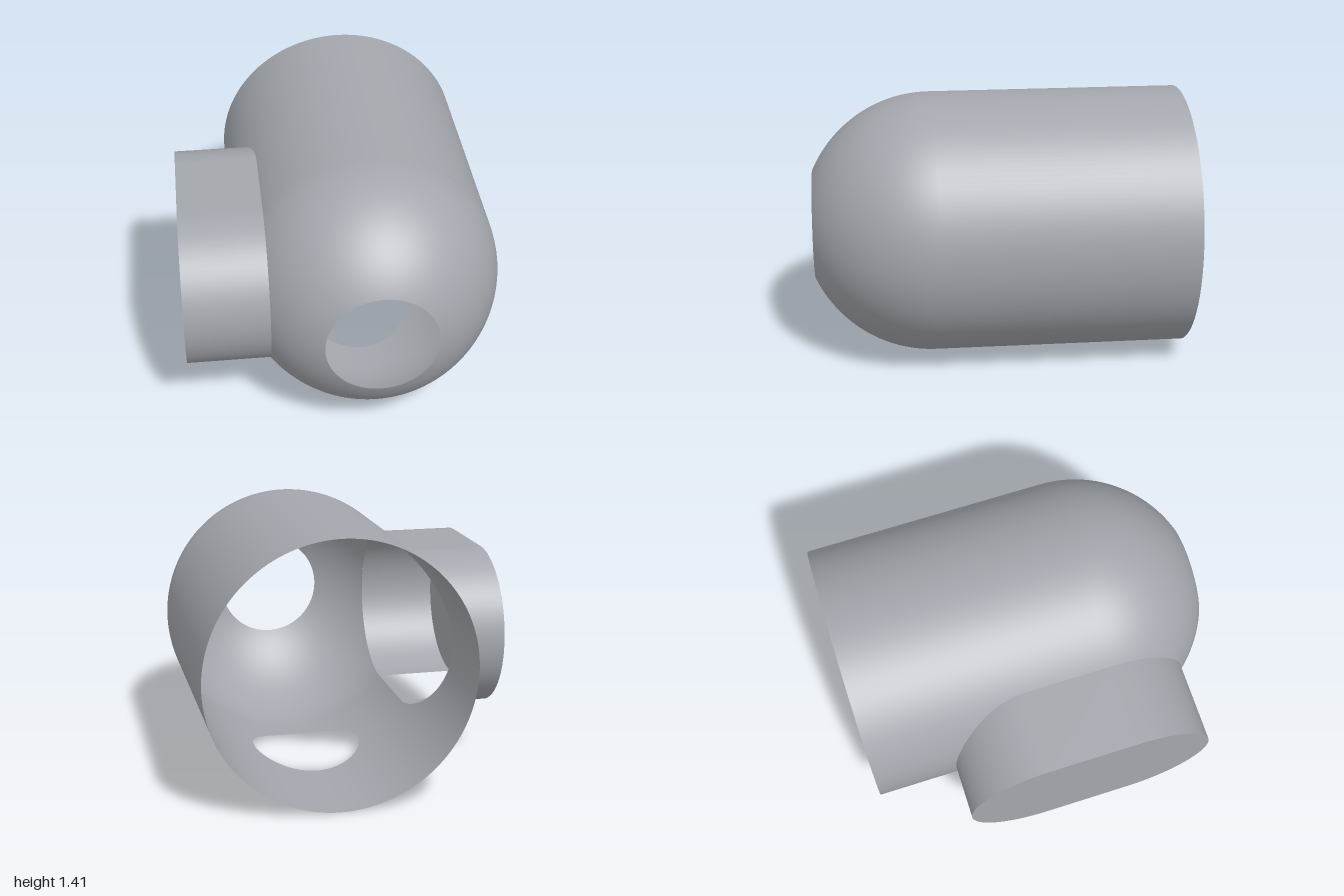
import * as THREE from 'three';

const R = 0.7075, CX = 0.147, CY = R;      // main tube radius and axis
const Z0 = -1, ZD = 0.357;                 // open back end, start of the dome
const MOUTH = 0.295;                       // radius of the opening in the dome
const S_END = ZD + R * Math.acos(MOUTH / R);
const BR = 0.44, BZ = -0.12, BX = -0.853;  // side branch: end radius, rear centre, cap position
const DR = 0.3, DZ = -0.11;                // round drain hole in the underside
const PI = Math.PI;

export function createModel() {
  const group = new THREE.Group();
  const grey = new THREE.MeshStandardMaterial({ color: 0xa3a7ad, side: THREE.DoubleSide });
  grey.name = 'grey';

  const add = (name, geometry, parent) => {
    const mesh = new THREE.Mesh(geometry, grey);
    mesh.name = name;
    parent.add(mesh);
  };

  // Grid patch: fn(u, v) returns [position, normal]
  const patch = (nu, nv, fn) => {
    const g = new THREE.PlaneGeometry(1, 1, nu, nv);
    const { position, normal, uv } = g.attributes;
    for (let i = 0; i < position.count; i++) {
      const [p, n] = fn(uv.getX(i), uv.getY(i));
      position.setXYZ(i, ...p);
      normal.setXYZ(i, ...n);
    }
    return g;
  };

  // Point on the tube and dome: angle round the axis, distance along the profile
  const bodyPoint = (a, s) => {
    const b = Math.max(0, s - ZD) / R;
    const n = [Math.cos(b) * Math.cos(a), Math.cos(b) * Math.sin(a), Math.sin(b)];
    return [[CX + R * n[0], CY + R * n[1], Math.min(s, ZD) + R * n[2]], n];
  };

  // Sector of the body between two profile limits, columns crowded at its ends
  const sector = (mid, half, lo, hi, rows) => patch(48, rows, (u, v) => {
    const d = Math.asin(Math.sin(half) * -Math.cos(PI * u));
    const s0 = lo(d), s1 = hi(d);
    return bodyPoint(mid + d, s0 + (s1 - s0) * v);
  });
  const plain = (a0, a1, s0, s1, cols, rows) => patch(cols, rows, (u, v) =>
    bodyPoint(a0 + (a1 - a0) * u, s0 + (s1 - s0) * v));

  const sideHalf = Math.asin(BR / R), drainHalf = Math.asin(DR / R);
  const chord = (r, d) => Math.sqrt(Math.max(0, r * r - (R * Math.sin(d)) ** 2));
  const left = PI, down = 1.5 * PI;
  const start = () => Z0, domeStart = () => ZD, end = () => S_END;

  // Tube, cut by the side branch and the drain hole
  const tube = new THREE.Group();
  tube.name = 'tube';
  group.add(tube);
  add('tubeUpper', plain(down + drainHalf - 2 * PI, left - sideHalf, Z0, ZD, 96, 1), tube);
  add('tubeLower', plain(left + sideHalf, down - drainHalf, Z0, ZD, 16, 1), tube);
  add('tubeBehindBranch', sector(left, sideHalf, start, d => BZ - chord(BR, d), 1), tube);
  add('tubeBehindDrain', sector(down, drainHalf, start, d => DZ - chord(DR, d), 1), tube);
  add('tubeAheadOfDrain', sector(down, drainHalf, d => DZ + chord(DR, d), domeStart, 1), tube);

  // Dome with its round mouth, cut by the side branch
  const dome = new THREE.Group();
  dome.name = 'dome';
  group.add(dome);
  const branchCut = d =>
    ZD + R * Math.acos(Math.min(1, Math.cos(sideHalf) / Math.cos(d)));
  add('domeMain', plain(left + sideHalf - 2 * PI, left - sideHalf, ZD, S_END, 112, 32), dome);
  add('domeAheadOfBranch', sector(left, sideHalf, branchCut, end, 32), dome);

  // Side branch: two rounded ends, a flat top, an open underside and an end cap
  const branch = new THREE.Group();
  branch.name = 'sideBranch';
  group.add(branch);
  const wall = (y, z, ny, nz, v) => {
    const ahead = Math.max(0, z - ZD);
    const inner = CX - Math.sqrt(R * R - (y - CY) ** 2 - ahead * ahead);
    return [[inner + (BX - inner) * v, y, z], [0, ny, nz]];
  };
  const roundEnd = (zc, a0) => patch(48, 1, (u, v) => {
    const a = a0 + PI * u, c = Math.cos(a), s = Math.sin(a);
    return wall(CY + BR * s, zc + BR * c, s, c, v);
  });
  add('branchFront', roundEnd(ZD, -PI / 2), branch);
  add('branchRear', roundEnd(BZ, PI / 2), branch);
  add('branchTop', patch(1, 1, (u, v) => wall(CY + BR, ZD + (BZ - ZD) * u, 1, 0, v)), branch);

  const outline = new THREE.Shape();
  outline.absarc(ZD, CY, BR, -PI / 2, PI / 2, false);
  outline.absarc(BZ, CY, BR, PI / 2, 1.5 * PI, false);
  const cap = new THREE.ShapeGeometry(outline, 48);
  cap.rotateY(-PI / 2).translate(BX, 0, 0);
  add('branchCap', cap, branch);

  return group;
}
